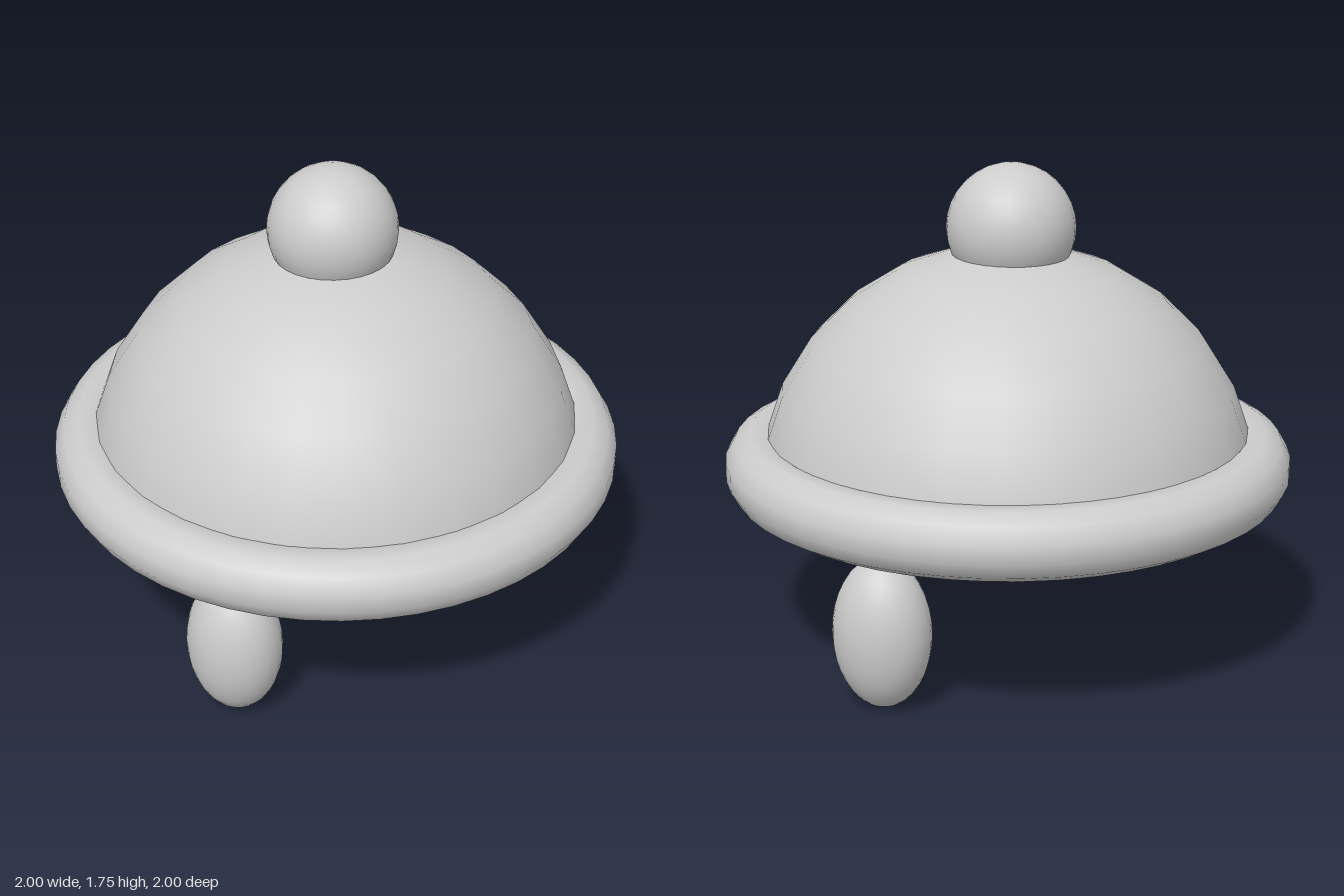
import * as THREE from 'three';

export function createModel() {
  const model = new THREE.Group();
  const grey = new THREE.MeshStandardMaterial({ color: 0xcccccc, side: THREE.DoubleSide });
  grey.name = 'light grey';

  const add = (name, geometry, x, y, z) => {
    const mesh = new THREE.Mesh(geometry, grey);
    mesh.name = name;
    mesh.position.set(x, y, z);
    model.add(mesh);
    return mesh;
  };

  // Hollow hemispherical cap, open underneath
  add('dome', new THREE.SphereGeometry(0.885, 28, 7, 0, Math.PI * 2, 0, Math.PI / 2), 0, 0.575, 0);

  // Rolled brim: a twelve-sided tube with flat top and bottom facets
  const profile = [];
  for (let i = 0; i <= 12; i++) {
    const a = THREE.MathUtils.degToRad(135 + i * 30);
    profile.push(new THREE.Vector2(0.882 + 0.122 * Math.cos(a), 0.122 * Math.sin(a)));
  }
  add('brim', new THREE.LatheGeometry(profile, 48), 0, 0.688, 0);

  // Round knob on the crown
  add('knob', new THREE.SphereGeometry(0.226, 28, 16), 0, 1.527, -0.013);

  // Egg-shaped feet hanging free below the brim
  for (const [name, side] of [['leftFoot', 1], ['rightFoot', -1]]) {
    const foot = add(name, new THREE.SphereGeometry(1, 28, 18), side * 0.725, 0.266, 0.102);
    foot.scale.set(0.153, 0.266, 0.174);
  }

  return model;
}
